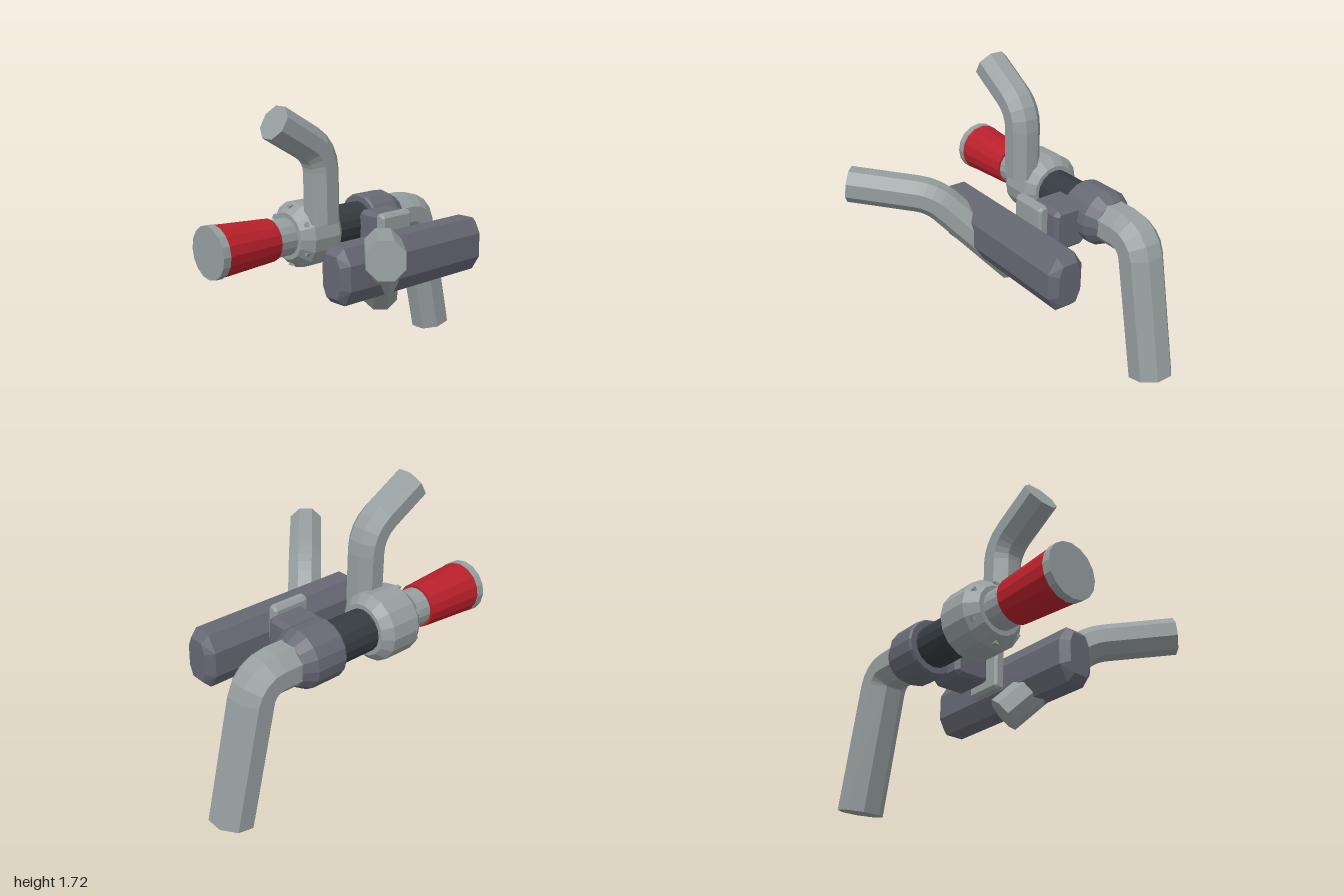
import * as THREE from 'three';
import { ConvexGeometry } from 'three/addons/geometries/ConvexGeometry.js';

const V = (x, y, z) => new THREE.Vector3(x, y, z);

function material(name, color) {
  const m = new THREE.MeshStandardMaterial({ color });
  m.name = name;
  return m;
}

// give every face its own normal
function faceted(geo) {
  const g = geo.index ? geo.toNonIndexed() : geo;
  g.computeVertexNormals();
  return g;
}

// turned part along z from [radius, z] pairs, back to front
function turned(profile) {
  const pts = profile.map(([r, z]) => new THREE.Vector2(r, z));
  pts.unshift(new THREE.Vector2(0, pts[0].y));
  pts.push(new THREE.Vector2(0, pts[pts.length - 1].y));
  return faceted(new THREE.LatheGeometry(pts, 16).rotateX(Math.PI / 2));
}

// octagonal pipe: two straight legs joined by a circular bend
function bentPipe(start, corner, end, apothem, bend) {
  const t = corner.clone().sub(start).normalize();
  const d2 = end.clone().sub(corner).normalize();
  const n = d2.clone().addScaledVector(t, -t.dot(d2)).normalize();
  const side = t.clone().cross(n);
  const turn = t.angleTo(d2);
  const R = bend / Math.tan(turn / 2);
  const centre = corner.clone().addScaledVector(t, -bend).addScaledVector(n, R);
  const stations = [[start, 0]];
  for (let i = 0; i <= 4; i++) {
    const a = turn * i / 4;
    stations.push([centre.clone().addScaledVector(n, -R * Math.cos(a)).addScaledVector(t, R * Math.sin(a)), a]);
  }
  stations.push([end, turn]);

  const pos = [], idx = [], r = apothem / Math.cos(Math.PI / 8);
  for (const [p, a] of stations) {
    const m = n.clone().multiplyScalar(Math.cos(a)).addScaledVector(t, -Math.sin(a));
    for (let k = 0; k < 8; k++) {
      const b = (k + 0.5) * Math.PI / 4;
      const v = p.clone().addScaledVector(m, r * Math.cos(b)).addScaledVector(side, r * Math.sin(b));
      pos.push(v.x, v.y, v.z);
    }
  }
  const last = (stations.length - 1) * 8;
  for (let k = 0; k < 8; k++) {
    const k2 = (k + 1) % 8;
    for (let i = 0; i < last; i += 8) {
      idx.push(i + k, i + k2, i + 8 + k2, i + k, i + 8 + k2, i + 8 + k);
    }
    if (k > 0 && k < 7) idx.push(0, k + 1, k, last, last + k, last + k + 1);
  }
  const g = new THREE.BufferGeometry();
  g.setAttribute('position', new THREE.Float32BufferAttribute(pos, 3));
  g.setIndex(idx);
  return faceted(g);
}

// box with chamfered long edges (cx, cy) and tapered ends (inset, depth), half sizes
function chamferBox(w, h, d, cx, cy, inset, depth) {
  const pts = [];
  for (const [s, z] of [[0, d - depth], [inset, d]]) {
    for (const sx of [-1, 1]) for (const sy of [-1, 1]) for (const sz of [-1, 1]) {
      pts.push(V(sx * (w - s), sy * (h - cy - s * 0.3), sz * z));
      pts.push(V(sx * (w - cx - s * 0.3), sy * (h - s), sz * z));
    }
  }
  return faceted(new ConvexGeometry(pts));
}

export function createModel() {
  const model = new THREE.Group();
  model.name = 'pipeDevice';
  const grey = material('lightGrey', 0x969e9f);
  const slate = material('slateGrey', 0x666873);
  const black = material('charcoal', 0x353c41);
  const red = material('red', 0xb8202b);

  const add = (name, geo, mat, parent = model) => {
    const mesh = new THREE.Mesh(geo, mat);
    mesh.name = name;
    parent.add(mesh);
    return mesh;
  };

  // barrel assembly on its own long axis
  const barrel = new THREE.Group();
  barrel.name = 'barrel';
  barrel.position.set(-0.52, 0.907, 0);
  model.add(barrel);
  add('rearCollar', turned([[0.135, -0.465], [0.18, -0.385], [0.18, -0.19], [0.17, -0.175]]), slate, barrel);
  add('darkSleeve', turned([[0.132, -0.2], [0.132, 0.13]]), black, barrel);
  add('frontCollar', turned([[0.16, 0.11], [0.212, 0.165], [0.212, 0.36], [0.15, 0.43]]), grey, barrel);
  add('neck', turned([[0.12, 0.4], [0.12, 0.58]]), grey, barrel);
  add('redCone', turned([[0.135, 0.56], [0.16, 0.95]]), red, barrel);
  add('muzzleCap', turned([[0.164, 0.95], [0.164, 1.0]]), grey, barrel);

  // small triangular lugs around the collar's front slope
  for (let i = 0; i < 6; i++) {
    const a = Math.PI / 2 + i * Math.PI / 3;
    const geo = new THREE.CylinderGeometry(0.02, 0.02, 0.05, 3).rotateX(Math.PI / 2);
    geo.rotateZ(Math.PI / 2 + a);
    // turn the triangle so that one corner points outwards
    geo.rotateZ(Math.PI);
    const lug = add('collarLug', faceted(geo), grey, barrel);
    lug.position.set(0.183 * Math.cos(a), 0.183 * Math.sin(a), 0.378);
  }

  // bent pipes
  add('rearPipe', bentPipe(V(-0.52, 0.907, -0.42), V(-0.52, 0.907, -0.69), V(-0.52, 0.037, -0.875), 0.128, 0.11), grey);
  add('upperPipe', bentPipe(V(-0.368, 1.0, 0.265), V(-0.368, 1.44, 0.265), V(-0.368, 1.645, 0.61), 0.105, 0.12), grey);
  add('sidePipe', bentPipe(V(-0.127, 0.523, 0), V(0.259, 0.986, 0.343), V(0.655, 1.04, 0.695), 0.105, 0.1), grey);

  // side beam, connecting block and mounting plate
  add('beam', chamferBox(0.121, 0.174, 0.609, 0.06, 0.096, 0.045, 0.047), slate)
    .position.set(0.009, 0.775, -0.092);
  add('connectorBlock', chamferBox(0.12, 0.139, 0.125, 0.03, 0.03, 0.025, 0.025), slate)
    .position.set(-0.3, 0.873, -0.205);
  add('mountingPlate', chamferBox(0.036, 0.173, 0.126, 0.018, 0.022, 0.014, 0.016), grey)
    .position.set(-0.143, 0.863, -0.138);

  return model;
}
